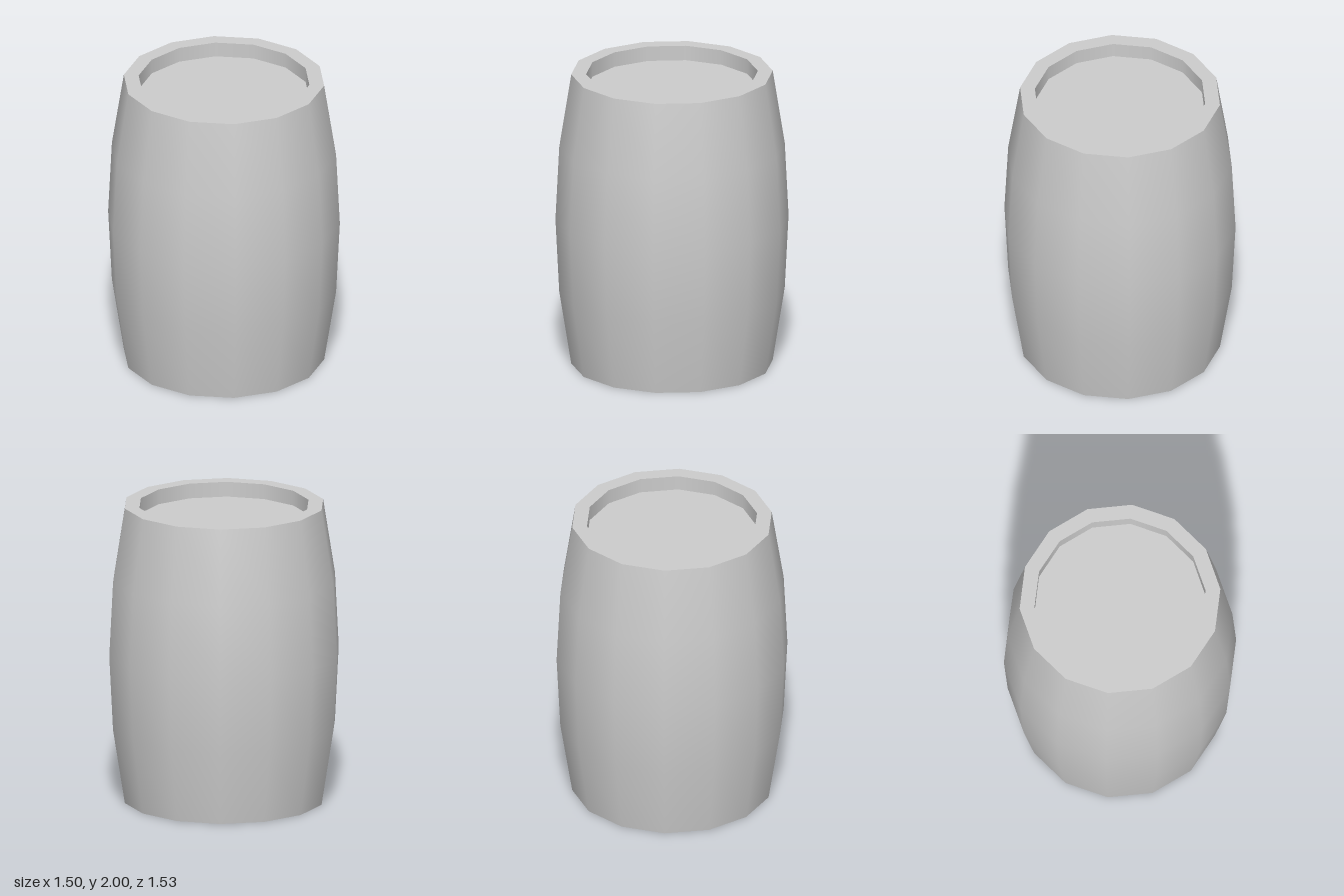
import * as THREE from 'three';

const SIDES = 14;
const RIM = 0.663, INNER = 0.565, HEIGHT = 2, RECESS = 0.1;

export function createModel() {
  const barrel = new THREE.Group();
  barrel.name = 'barrel';
  const material = new THREE.MeshStandardMaterial({ color: 0xcccccc });

  // Each band is its own lathe, so edges between bands stay sharp.
  const band = (name, profile) => {
    const points = profile.map(([r, y]) => new THREE.Vector2(r, y));
    const mesh = new THREE.Mesh(new THREE.LatheGeometry(points, SIDES), material);
    mesh.name = name;
    barrel.add(mesh);
  };

  // Bulging outer wall
  band('staves', [[RIM, 0], [0.742, 0.5], [0.767, 1], [0.742, 1.5], [RIM, HEIGHT]]);

  // Rim, recess wall and sunken lid at the top
  const lidY = HEIGHT - RECESS;
  band('topRim', [[RIM, HEIGHT], [INNER, HEIGHT]]);
  band('topRecessWall', [[INNER, HEIGHT], [INNER, lidY]]);
  band('topLid', [[INNER, lidY], [0, lidY]]);

  // The same at the bottom, traced the other way so it faces down
  band('bottomLid', [[0, RECESS], [INNER, RECESS]]);
  band('bottomRecessWall', [[INNER, RECESS], [INNER, 0]]);
  band('bottomRim', [[INNER, 0], [RIM, 0]]);

  return barrel;
}
